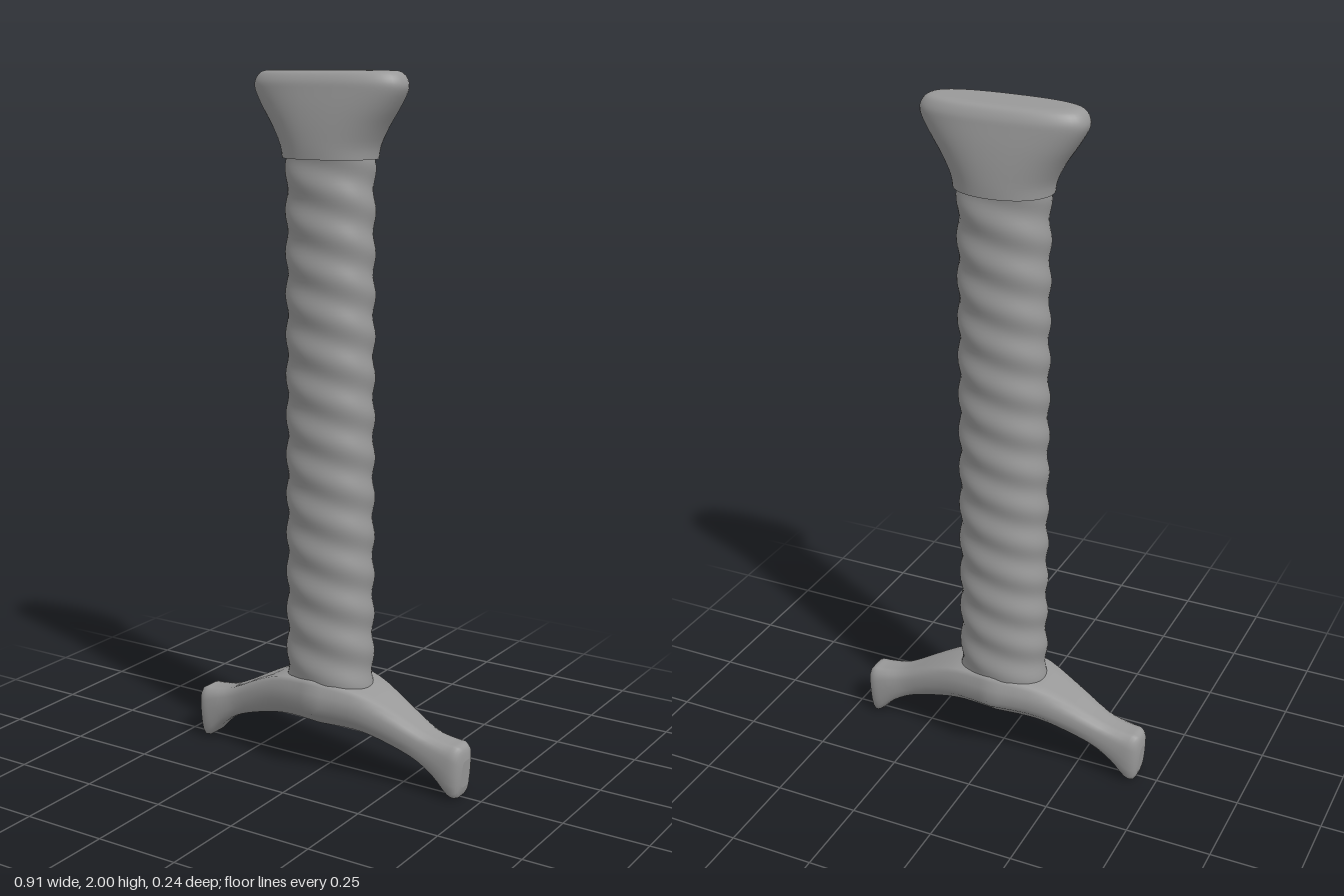
import * as THREE from 'three';

// Skin a list of equal-length point rings, with optional flat caps
function loft(rings, capStart = true, capEnd = true) {
  const n = rings[0].length, pos = [], idx = [];
  rings.forEach(r => r.forEach(p => pos.push(...p)));
  for (let i = 0; i < rings.length - 1; i++) {
    for (let j = 0; j < n; j++) {
      const a = i * n + j, b = i * n + (j + 1) % n;
      idx.push(a, b, a + n, b, b + n, a + n);
    }
  }
  const cap = (ring, flip) => {
    const base = pos.length / 3;
    ring.forEach(p => pos.push(...p));
    pos.push(...[0, 1, 2].map(k => ring.reduce((s, p) => s + p[k], 0) / n));
    for (let j = 0; j < n; j++) {
      const a = base + j, b = base + (j + 1) % n;
      idx.push(base + n, flip ? b : a, flip ? a : b);
    }
  };
  if (capStart) cap(rings[0], true);
  if (capEnd) cap(rings[rings.length - 1], false);
  const g = new THREE.BufferGeometry();
  g.setAttribute('position', new THREE.Float32BufferAttribute(pos, 3));
  g.setIndex(idx);
  g.computeVertexNormals();
  return g;
}

// Horizontal superellipse ring
function oval(y, rx, rz, power = 2, ripple = () => 0, n = 48) {
  return Array.from({ length: n }, (_, j) => {
    const a = j / n * Math.PI * 2, c = Math.cos(a), s = Math.sin(a), d = ripple(a);
    const e = v => Math.sign(v) * Math.abs(v) ** (2 / power);
    return [(rx + d) * e(c), y, -(rz + d) * e(s)];
  });
}

// Smooth interpolation through rows of numbers
function smoothRows(rows, steps) {
  const out = [];
  for (let i = 0; i < rows.length - 1; i++) {
    for (let s = 0; s < steps; s++) {
      const p = [rows[Math.max(i - 1, 0)], rows[i], rows[i + 1], rows[Math.min(i + 2, rows.length - 1)]];
      const t = s / steps;
      out.push(rows[i].map((_, k) => {
        const m0 = (p[2][k] - p[0][k]) / 2, m1 = (p[3][k] - p[1][k]) / 2;
        return (2 * t ** 3 - 3 * t * t + 1) * p[1][k] + (t ** 3 - 2 * t * t + t) * m0
          + (3 * t * t - 2 * t ** 3) * p[2][k] + (t ** 3 - t * t) * m1;
      }));
    }
  }
  out.push(rows[rows.length - 1]);
  return out;
}

export function createModel() {
  const group = new THREE.Group();
  const grey = new THREE.MeshStandardMaterial({ color: 0x999999 });
  grey.name = 'grey';
  const add = (name, geometry) => {
    const m = new THREE.Mesh(geometry, grey);
    m.name = name;
    group.add(m);
  };

  // Grip: oval column with a shallow spiral wrap
  const gripRings = [];
  for (let i = 0; i <= 112; i++) {
    const t = i / 112, y = 0.22 + t * 1.58;
    gripRings.push(oval(y, 0.131 - 0.004 * t, 0.101 - 0.002 * t, 2.1,
      a => 0.004 * Math.sin(y * Math.PI * 2 / 0.115 + a * 2)));
  }
  add('grip', loft(gripRings));

  // Pommel: collar flaring to a broad, rounded cap [y, half width, half depth, roundness]
  const pommelRows = [
    [1.765, 0.14, 0.106, 2.1], [1.8, 0.147, 0.107, 2.1], [1.85, 0.173, 0.105, 2.2],
    [1.9, 0.207, 0.1, 2.3], [1.945, 0.233, 0.093, 2.4], [1.97, 0.234, 0.088, 2.5],
    [1.99, 0.222, 0.077, 2.5], [1.998, 0.205, 0.064, 2.5], [2.0, 0.18, 0.045, 2.5],
  ];
  add('pommel', loft(smoothRows(pommelRows, 3).map(r => oval(...r))));

  // Guard: drooping arms [top x, top y, bottom x, bottom y, half depth, squareness]
  const armRows = [
    [0, 0.29, 0, 0.14, 0.122, 0], [0.12, 0.272, 0.11, 0.142, 0.097, 0.15],
    [0.22, 0.232, 0.19, 0.131, 0.076, 0.5], [0.33, 0.176, 0.29, 0.101, 0.054, 1],
    [0.4, 0.16, 0.36, 0.06, 0.053, 1], [0.432, 0.158, 0.41, 0.01, 0.052, 1],
    [0.448, 0.145, 0.436, 0.004, 0.042, 1], [0.453, 0.115, 0.447, 0.035, 0.025, 1],
  ];
  // Section outline: [drop from top, depth at centre, depth at arm end]
  const section = [
    [0, 0.45, 0.3], [0, 0.86, 0.55], [0.08, 0.91, 0.82], [0.25, 0.96, 0.96], [0.5, 1, 1],
    [0.7, 0.82, 0.98], [0.86, 0.58, 0.9], [0.96, 0.46, 0.75], [1, 0.3, 0.45],
  ];
  const armRing = ([tx, ty, bx, by, hz, q]) => {
    const half = section.map(([t, zc, ze]) =>
      [tx + (bx - tx) * t, ty + (by - ty) * t, hz * (zc + (ze - zc) * q)]);
    return [...half, ...half.map(([x, y, z]) => [x, y, -z]).reverse()];
  };
  const arm = smoothRows(armRows, 3).map((r, i) => {
    // depth tapers in a straight line from the middle ridge
    if (i < 9) r[4] = 0.122 - 0.209 * r[0];
    return r;
  });
  const mirrored = arm.slice(1).reverse().map(r => [-r[0], r[1], -r[2], ...r.slice(3)]);
  add('guard', loft([...mirrored, ...arm].map(armRing)));

  return group;
}
